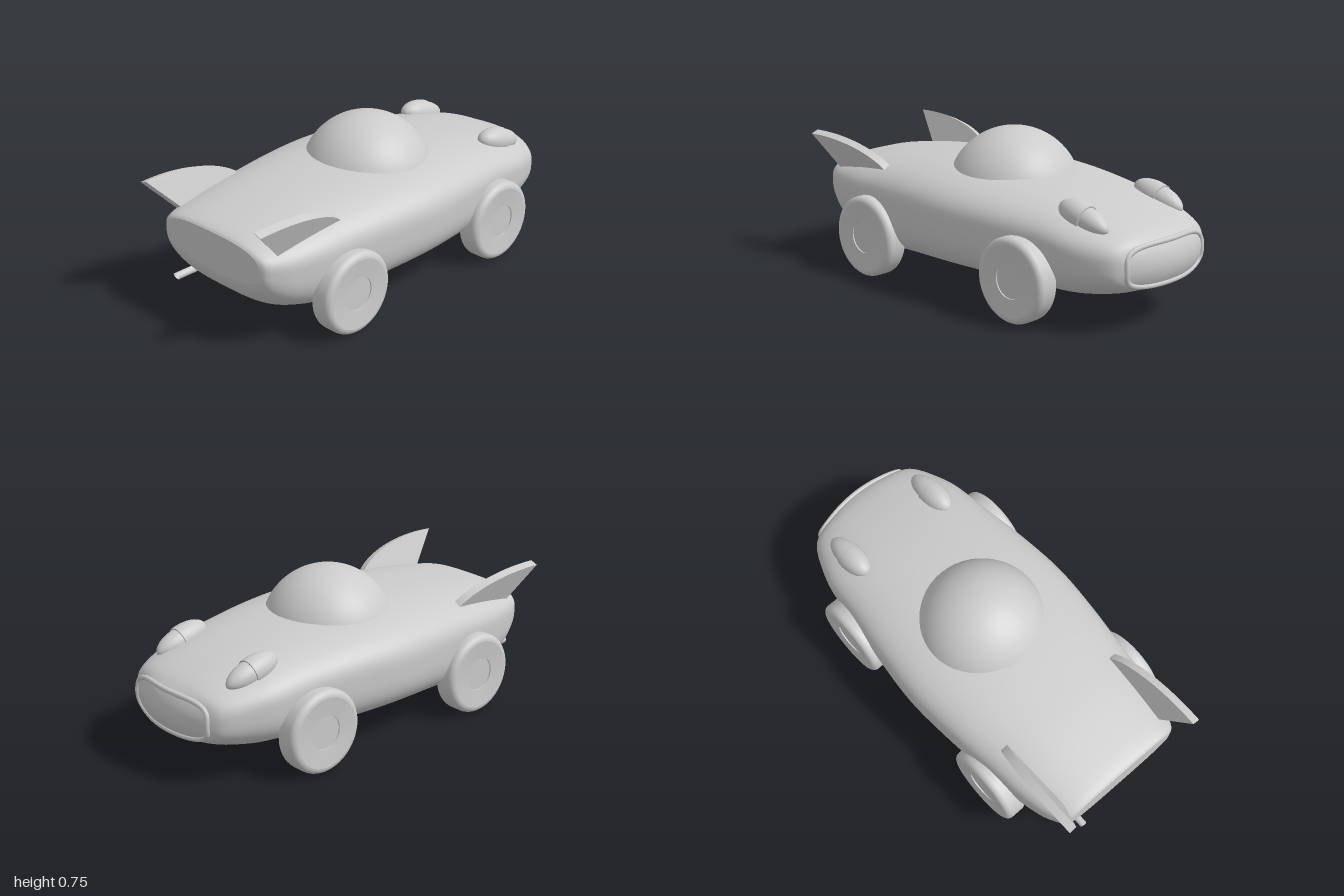
import * as THREE from 'three';

const grey = new THREE.MeshStandardMaterial({ color: 0xcccccc });
const greyDouble = new THREE.MeshStandardMaterial({ color: 0xcccccc, side: THREE.DoubleSide });

function part(name, geometry, material = grey) {
  const mesh = new THREE.Mesh(geometry, material);
  mesh.name = name;
  return mesh;
}

// Closed-around surface from a rule f(u, angle) -> [x, y, z]
function loft(nu, nv, f) {
  const pos = [], idx = [];
  for (let i = 0; i <= nu; i++) {
    for (let j = 0; j < nv; j++) pos.push(...f(i / nu, (j / nv) * Math.PI * 2));
  }
  for (let i = 0; i < nu; i++) {
    for (let j = 0; j < nv; j++) {
      const k = (j + 1) % nv;
      const a = i * nv + j, b = a + nv, c = (i + 1) * nv + k, d = i * nv + k;
      idx.push(a, b, d, b, c, d);
    }
  }
  const g = new THREE.BufferGeometry();
  g.setAttribute('position', new THREE.Float32BufferAttribute(pos, 3));
  g.setIndex(idx);
  g.computeVertexNormals();
  return g;
}

// Unit superellipse point, with its own exponent above and below
function squircle(angle, nTop, nBottom) {
  const c = Math.cos(angle), s = Math.sin(angle), n = s > 0 ? nTop : nBottom;
  return [Math.sign(c) * Math.abs(c) ** (2 / n), Math.sign(s) * Math.abs(s) ** (2 / n)];
}

// Body stations: x, half width, top, bottom, widest height, nose wrap, top and bottom exponents
const stations = [
  [-0.935, 0.30, 0.485, 0.30, 0.40, 0, 3, 3],
  [-0.92, 0.33, 0.497, 0.255, 0.395, 0, 2.8, 3],
  [-0.88, 0.355, 0.51, 0.20, 0.39, 0, 2.6, 3],
  [-0.80, 0.385, 0.525, 0.15, 0.385, 0, 2.5, 3.2],
  [-0.65, 0.415, 0.548, 0.105, 0.38, 0, 2.5, 3.3],
  [-0.50, 0.43, 0.564, 0.092, 0.38, 0, 2.5, 3.3],
  [-0.25, 0.46, 0.582, 0.105, 0.38, 0, 2.5, 3.3],
  [0, 0.475, 0.585, 0.113, 0.38, 0, 2.5, 3.3],
  [0.25, 0.455, 0.572, 0.115, 0.38, 0, 2.5, 3.3],
  [0.50, 0.42, 0.543, 0.115, 0.37, 0, 2.5, 3.2],
  [0.68, 0.40, 0.508, 0.12, 0.355, 0, 2.5, 3],
  [0.82, 0.355, 0.47, 0.145, 0.33, 0, 2.6, 2.9],
  [0.92, 0.31, 0.435, 0.175, 0.31, 0.3, 2.9, 3],
  [1.0, 0.255, 0.395, 0.205, 0.30, 1, 3.5, 3.5],
];
const columns = stations[0].map((_, k) =>
  new THREE.SplineCurve(stations.map((s, i) => new THREE.Vector2(i, s[k]))));

function bodyPoint(u, angle, scale = 1) {
  const [x, w, top, bottom, mid, wrap, nT, nB] = columns.map((c) => c.getPoint(u).y);
  const [h, v] = squircle(angle, nT, nB).map((a) => a * scale);
  return [
    x - wrap * (0.03 * v * v + 0.055 * h * h),
    mid + v * (v > 0 ? top - mid : mid - bottom),
    w * h,
  ];
}

function makeBody() {
  const g = new THREE.Group();
  g.name = 'body';
  g.add(part('shell', loft(91, 80, (u, a) => bodyPoint(u, a))));
  g.add(part('rearPanel', loft(6, 80, (u, a) => bodyPoint(0, a, u))));
  g.add(part('grillePanel', loft(10, 80, (u, a) => bodyPoint(1, a, 1 - u))));
  // Grille surround follows the rounded nose
  const pts = [];
  for (let i = 0; i < 64; i++) pts.push(new THREE.Vector3(...bodyPoint(1, (i / 64) * Math.PI * 2)));
  const path = new THREE.CatmullRomCurve3(pts, true);
  g.add(part('grilleRing', new THREE.TubeGeometry(path, 128, 0.012, 10, true)));
  return g;
}

function makeCanopy() {
  const dome = part('canopy', new THREE.SphereGeometry(0.319, 48, 24, 0, Math.PI * 2, 0, Math.PI / 2));
  dome.position.set(0.03, 0.43, 0);
  return dome;
}

// Lathe with creases: each profile run is its own smooth surface
function latheGroup(name, runs, segments) {
  const g = new THREE.Group();
  g.name = name;
  runs.forEach(([n, p]) => g.add(part(n,
    new THREE.LatheGeometry(p.map(([r, y]) => new THREE.Vector2(r, y)), segments))));
  return g;
}

// Wheel axis along y, outer face up
function makeWheel(name) {
  const tyre = [[0.165, -0.058]];
  for (const [cy, start] of [[-0.028, -90], [0.028, 0]]) {
    for (let i = 0; i <= 6; i++) {
      const a = THREE.MathUtils.degToRad(start + i * 15);
      tyre.push([0.166 + 0.03 * Math.cos(a), cy + 0.03 * Math.sin(a)]);
    }
  }
  return latheGroup(name, [
    ['innerFace', [[0, -0.058], [0.166, -0.058]]],
    ['tyre', tyre],
    ['outerFace', [[0.166, 0.058], [0.08, 0.05]]],
    ['hubEdge', [[0.08, 0.05], [0.08, 0.044]]],
    ['hubCap', [[0.08, 0.044], [0, 0.044]]],
  ], 56);
}

// Headlight axis along y, lens up
function makeHeadlight(name) {
  const housing = [], lens = [];
  for (let i = 0; i <= 14; i++) {
    const a = (i / 14) * Math.PI / 2;
    housing.push([0.064 * Math.sin(a), -0.125 * Math.cos(a)]);
    lens.push([0.056 * Math.cos(a) ** 1.15, 0.03 + 0.125 * Math.sin(a)]);
  }
  return latheGroup(name, [
    ['housing', housing],
    ['bezel', [[0.064, 0], [0.063, 0.03]]],
    ['bezelLip', [[0.063, 0.03], [0.055, 0.03]]],
    ['lens', lens],
  ], 32);
}

function makeFin(name) {
  const s = new THREE.Shape();
  s.moveTo(-1.0, 0.115);
  s.lineTo(-0.84, -0.07);
  s.lineTo(-0.49, -0.035);
  s.lineTo(-0.49, -0.01);
  s.bezierCurveTo(-0.56, 0.07, -0.76, 0.13, -1.0, 0.115);
  const geo = new THREE.ExtrudeGeometry(s, { depth: 0.04, bevelEnabled: false, curveSegments: 20 });
  geo.translate(0, 0, -0.02);
  return part(name, geo);
}

function makeExhaust() {
  const g = new THREE.CylinderGeometry(0.017, 0.017, 0.14, 20, 1, true);
  g.rotateZ(Math.PI / 2);
  // Slanted tail end
  const p = g.attributes.position;
  for (let i = 0; i < p.count; i++) {
    if (p.getX(i) < 0) p.setX(i, p.getX(i) - p.getY(i) * 0.45);
  }
  const pipe = part('exhaustPipe', g, greyDouble);
  pipe.position.set(-0.885, 0.184, -0.235);
  return pipe;
}

export function createModel() {
  const model = new THREE.Group();
  model.name = 'finnedCar';
  model.add(makeBody(), makeCanopy(), makeExhaust());

  for (const side of [1, -1]) {
    const label = side > 0 ? 'Left' : 'Right';
    for (const [end, x] of [['front', 0.465], ['rear', -0.515]]) {
      const wheel = makeWheel(`${end}${label}Wheel`);
      wheel.position.set(x, 0.196, side * 0.427);
      wheel.rotation.x = side * Math.PI / 2;
      model.add(wheel);
    }
    const light = makeHeadlight(`headlight${label}`);
    light.position.set(0.682, 0.487, side * 0.253);
    light.rotation.z = -Math.PI / 2 - 0.27;
    model.add(light);

    const fin = makeFin(`tailFin${label}`);
    fin.position.set(0, 0.515, side * 0.332);
    fin.rotation.x = side * 0.36;
    model.add(fin);
  }
  return model;
}
